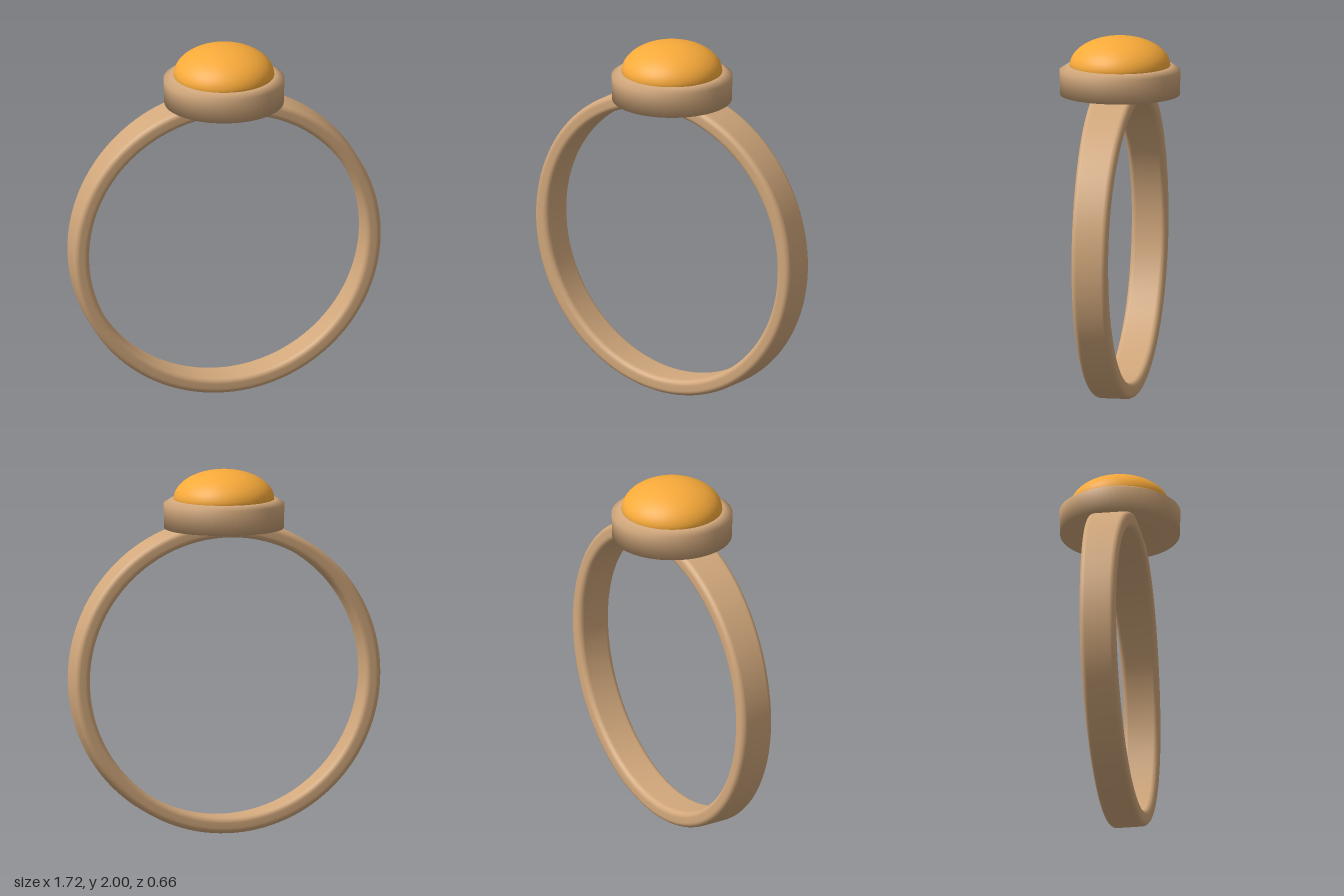
import * as THREE from 'three';

const BAND_Y = 0.865, INNER = 0.773, OUTER = 0.862;

// Rounded-rectangle section of the band as [radius, z] pairs
function bandSection(halfWidth) {
  const pts = [], c = 0.03;
  const corners = [[OUTER - c, halfWidth - c], [INNER + c, halfWidth - c],
    [INNER + c, c - halfWidth], [OUTER - c, c - halfWidth]];
  corners.forEach(([r, z], q) => {
    for (let i = 0; i <= 5; i++) {
      const a = (q + i / 5) * Math.PI / 2;
      pts.push([r + c * Math.cos(a), z + c * Math.sin(a)]);
    }
  });
  return pts;
}

// Sweep the section round the finger, widening toward the setting
function bandGeometry(steps = 128) {
  const pos = [], idx = [];
  const n = bandSection(0.1).length;
  for (let s = 0; s < steps; s++) {
    const a = (s / steps) * Math.PI * 2;
    const halfWidth = 0.099 + 0.02 * Math.max(0, Math.sin(a)) ** 2.5;
    for (const [r, z] of bandSection(halfWidth)) pos.push(r * Math.cos(a), r * Math.sin(a), z);
    for (let i = 0; i < n; i++) {
      const j = (i + 1) % n, t = (s + 1) % steps;
      const p = s * n + i, q = s * n + j, u = t * n + i, v = t * n + j;
      idx.push(p, u, q, q, u, v);
    }
  }
  const g = new THREE.BufferGeometry();
  g.setAttribute('position', new THREE.Float32BufferAttribute(pos, 3));
  g.setIndex(idx);
  g.computeVertexNormals();
  return g;
}

function lathe(points) {
  return new THREE.LatheGeometry(points.map(([x, y]) => new THREE.Vector2(x, y)), 64);
}

export function createModel() {
  const ring = new THREE.Group();
  ring.name = 'ring';
  const metal = new THREE.MeshStandardMaterial({ color: 0xd2a87c });
  const amber = new THREE.MeshStandardMaterial({ color: 0xf8aa3a });
  const add = (name, geometry, material, y) => {
    const mesh = new THREE.Mesh(geometry, material);
    mesh.name = name;
    mesh.position.y = y;
    ring.add(mesh);
  };

  add('band', bandGeometry(), metal, BAND_Y);

  // Round cup holding the stone, softly shaded over its edges
  add('bezel', lathe([[0, 1.68], [0.327, 1.68], [0.331, 1.815],
    [0.29, 1.84], [0.26, 1.838], [0, 1.82]]), metal, 0);

  // Domed cabochon
  const dome = [[0, 1.825], [0.27, 1.825]];
  for (let i = 0; i <= 16; i++) {
    const a = (i / 16) * Math.PI / 2;
    dome.push([i === 16 ? 0 : 0.275 * Math.cos(a), 1.84 + 0.16 * Math.sin(a)]);
  }
  add('stone', lathe(dome), amber, 0);

  return ring;
}
